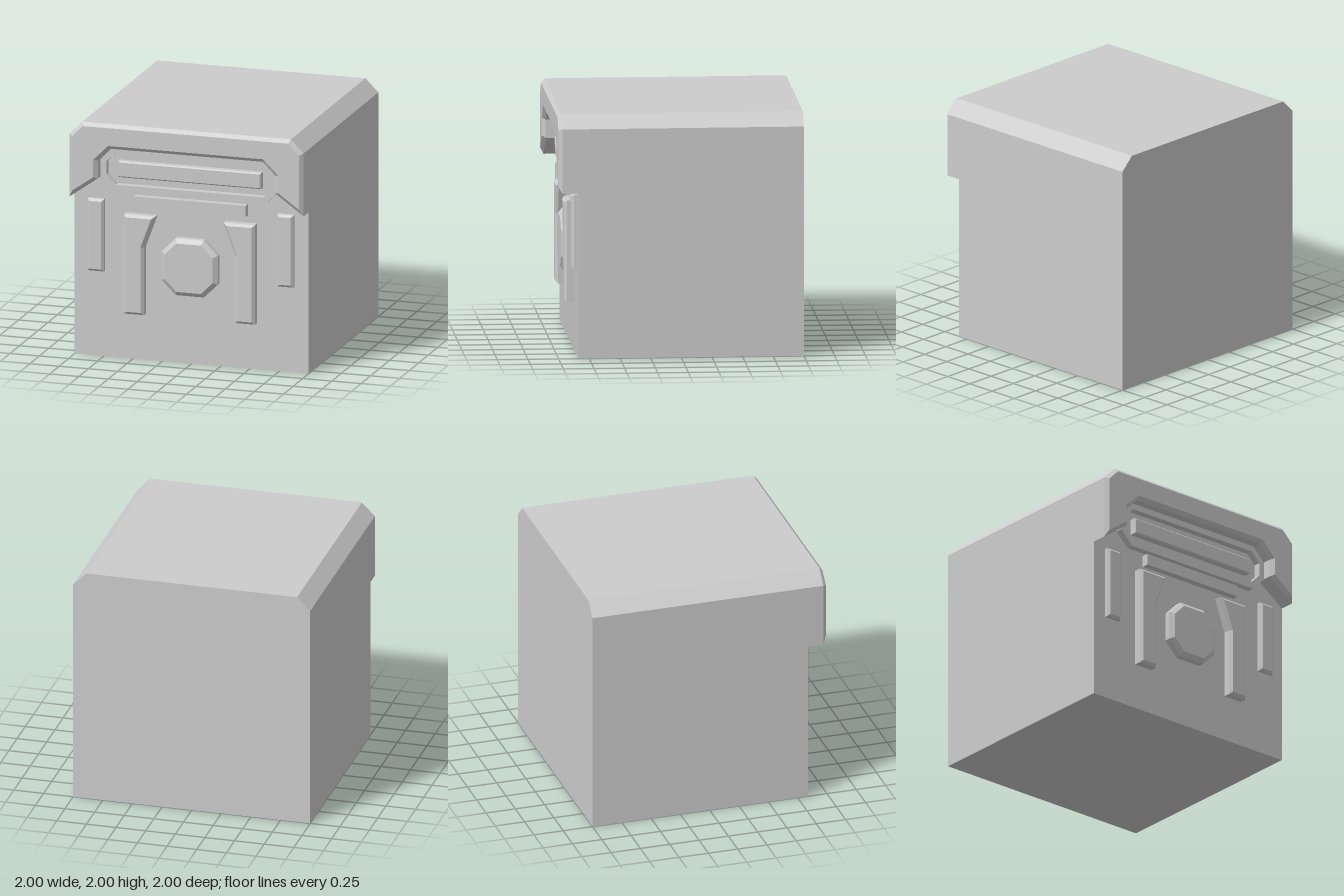
import * as THREE from 'three';

const material = new THREE.MeshStandardMaterial({ color: 0xcccccc, flatShading: true });
const FACE = 0.84; // z of the flat front of the body

const toPoints = (list) => list.map(([x, y]) => new THREE.Vector2(x, y));

// Moves every edge of a counter-clockwise outline inwards by d
function inset(points, d) {
  const n = points.length;
  return points.map((p, i) => {
    const a = p.clone().sub(points[(i + n - 1) % n]).normalize();
    const b = points[(i + 1) % n].clone().sub(p).normalize();
    const na = new THREE.Vector2(-a.y, a.x);
    const nb = new THREE.Vector2(-b.y, b.x);
    return na.clone().add(nb).multiplyScalar(d / (1 + na.dot(nb))).add(p);
  });
}

// Raised plate on the body front with a chamfered front edge
function plate(name, list, top, bevel, depth = bevel) {
  const outline = toPoints(list);
  const inner = inset(outline, bevel);
  const rings = [[outline, FACE], [outline, top - depth], [inner, top]];
  const pos = [];
  const put = ([ring, z], i) => pos.push(ring[i].x, ring[i].y, z);
  for (let r = 0; r < 2; r++) {
    for (let i = 0; i < outline.length; i++) {
      const j = (i + 1) % outline.length;
      const [a, b] = [rings[r], rings[r + 1]];
      put(a, i); put(a, j); put(b, j);
      put(a, i); put(b, j); put(b, i);
    }
  }
  for (const tri of THREE.ShapeUtils.triangulateShape(inner, [])) {
    tri.forEach((i) => put(rings[2], i));
  }
  const geometry = new THREE.BufferGeometry();
  geometry.setAttribute('position', new THREE.Float32BufferAttribute(pos, 3));
  geometry.computeVertexNormals();
  const mesh = new THREE.Mesh(geometry, material);
  mesh.name = name;
  return mesh;
}

// Straight extrusion of an outline, with optional hole
function slab(name, list, z0, z1, hole) {
  const shape = new THREE.Shape(toPoints(list));
  if (hole) shape.holes.push(new THREE.Path(toPoints(hole)));
  const geometry = new THREE.ExtrudeGeometry(shape, { depth: z1 - z0, bevelEnabled: false });
  geometry.translate(0, 0, z0);
  const mesh = new THREE.Mesh(geometry, material);
  mesh.name = name;
  return mesh;
}

const rect = (x0, x1, y0, y1) => [[x0, y0], [x1, y0], [x1, y1], [x0, y1]];

// Rectangle with cut corners
const octagon = (w, y0, y1, c) => [
  [-w + c, y0], [w - c, y0], [w, y0 + c], [w, y1 - c],
  [w - c, y1], [-w + c, y1], [-w, y1 - c], [-w, y0 + c],
];

// Mirrors an outline in x, keeping it counter-clockwise
const mirror = (list) => list.map(([x, y]) => [-x, y]).reverse();

export function createModel() {
  const group = new THREE.Group();
  group.name = 'helmetBlock';

  // Main block with chamfered top edges
  group.add(slab('body', [
    [-1, 0], [1, 0], [1, 1.89], [0.89, 2], [-0.89, 2], [-1, 1.89],
  ], -1, FACE));

  // Overhanging brow that arches over the visor
  const half = [[0.65, 1.79], [0.76, 1.68], [0.76, 1.53], [1, 1.36], [1, 1.89], [0.89, 2]];
  group.add(plate('brow', [...half, ...mirror(half)], 1, 0.03));

  // Visor frame, slot bar and lower strip
  group.add(slab('visorFrame', octagon(0.76, 1.41, 1.79, 0.115), FACE, 0.9,
    octagon(0.71, 1.47, 1.74, 0.08)));
  group.add(plate('visorBar', rect(-0.61, 0.61, 1.535, 1.67), 0.9, 0.01));
  group.add(slab('visorStrip', rect(-0.48, 0.48, 1.29, 1.385), FACE, 0.9));

  // Central eight-sided boss
  group.add(plate('centreBoss', octagon(0.24, 0.58, 1.06, 0.12), 0.92, 0.036, 0.03));

  // Cheek guards and side bars, mirrored
  const cheek = [[0.39, 0.39], [0.56, 0.39], [0.56, 1.23], [0.29, 1.23], [0.39, 0.96]];
  const bar = rect(0.74, 0.88, 0.72, 1.33);
  for (const [side, place] of [['left', (l) => l], ['right', mirror]]) {
    group.add(plate(side + 'CheekGuard', place(cheek), 0.92, 0.022));
    group.add(plate(side + 'SideBar', place(bar), 0.885, 0.02));
  }
  return group;
}
